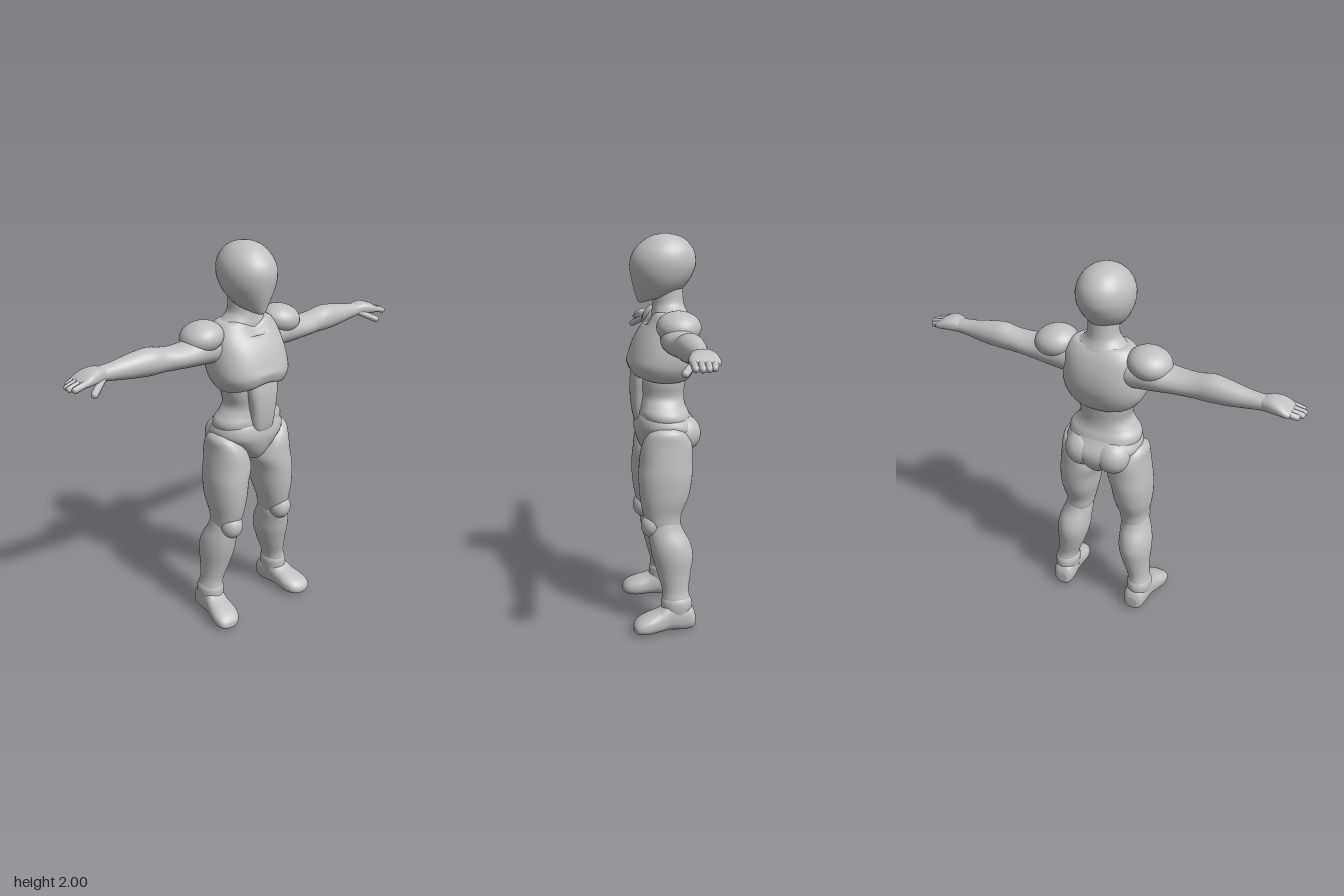
import * as THREE from 'three';

const grey = new THREE.MeshStandardMaterial({ color: 0xc0c0c0 });
grey.name = 'plainGrey';

// Outline of a cross-section: superellipse of power n
const power = (c, n) => Math.sign(c) * Math.abs(c) ** (2 / n);

// Smooth curve through the stations, one value per column
function blend(rows, i, f) {
  const row = (k) => rows[Math.max(0, Math.min(rows.length - 1, k))];
  const [a, b, c, d] = [row(i - 1), row(i), row(i + 1), row(i + 2)];
  return b.map((p, k) => p + 0.5 * f * (c[k] - a[k] + f * (2 * a[k] - 5 * p + 4 * c[k] - d[k]
    + f * (3 * (p - c[k]) + d[k] - a[k]))));
}

// Closed skin over stations [t, centreU, radiusU, maxV, minV, tilt] along an axis
function loft(axis, stations, { n = 2, sides = 36, steps = 5, warp } = {}) {
  const full = stations.map((s) => [...s, 0].slice(0, 6));
  const rings = [];
  for (let i = 0; i < full.length - 1; i++)
    for (let k = 0; k < steps; k++) rings.push(blend(full, i, k / steps));
  rings.push(full[full.length - 1]);
  const pos = [], index = [];
  const put = (t, u, v) => {
    const p = new THREE.Vector3(...{ x: [t, u, v], y: [u, t, v], z: [u, v, t] }[axis]);
    if (warp) warp(p);
    pos.push(p.x, p.y, p.z);
  };
  for (const [t, cu, ru, hi, lo, tilt] of rings)
    for (let j = 0; j < sides; j++) {
      const a = (j / sides) * Math.PI * 2;
      const v = (hi + lo) / 2 + ((hi - lo) / 2) * power(Math.sin(a), n);
      put(t - tilt * v, cu + ru * power(Math.cos(a), n), v);
    }
  const last = rings.length - 1;
  for (const e of [0, last]) {
    const [t, cu, , hi, lo, tilt] = rings[e];
    put(t - tilt * (hi + lo) / 2, cu, (hi + lo) / 2);
  }
  const pole = rings.length * sides;
  for (let j = 0; j < sides; j++) {
    const k = (j + 1) % sides;
    for (let i = 0; i < last; i++) {
      const a = i * sides + j, b = i * sides + k;
      index.push(a, a + sides, b, b, a + sides, b + sides);
    }
    index.push(pole, j, k, pole + 1, last * sides + k, last * sides + j);
  }
  const g = new THREE.BufferGeometry();
  g.setAttribute('position', new THREE.Float32BufferAttribute(pos, 3));
  g.setIndex(index);
  return faceOutward(g);
}

// Turns the faces outward by the sign of the enclosed volume
function faceOutward(g) {
  const p = g.attributes.position, ix = g.index.array;
  const at = (k) => new THREE.Vector3().fromBufferAttribute(p, ix[k]);
  let volume = 0;
  for (let i = 0; i < ix.length; i += 3) volume += at(i).dot(at(i + 1).cross(at(i + 2)));
  if (volume < 0) for (let i = 0; i < ix.length; i += 3) [ix[i], ix[i + 1]] = [ix[i + 1], ix[i]];
  g.computeVertexNormals();
  return g;
}

function ellipsoid(center, radii, turn = 0) {
  return new THREE.SphereGeometry(1, 32, 20).scale(...radii).rotateZ(turn).translate(...center);
}

// Round-ended finger between two points
function finger(from, to, r) {
  const a = new THREE.Vector3(...from), b = new THREE.Vector3(...to), d = b.clone().sub(a);
  const q = new THREE.Quaternion().setFromUnitVectors(new THREE.Vector3(0, 1, 0), d.clone().normalize());
  const c = a.add(b).multiplyScalar(0.5);
  return new THREE.CapsuleGeometry(r, d.length(), 6, 12).applyQuaternion(q).translate(c.x, c.y, c.z);
}

export function createModel() {
  const model = new THREE.Group();
  model.name = 'figure';
  const add = (name, geometry) => {
    const mesh = new THREE.Mesh(geometry, grey);
    mesh.name = name;
    model.add(mesh);
  };
  const addPair = (name, geometry) => {
    add('left' + name, geometry);
    add('right' + name, faceOutward(geometry.clone().scale(-1, 1, 1)));
  };

  // Head: egg with a low, narrow chin
  add('head', loft('y', [
    [1.695, 0, 0.03, 0.08, -0.05, 0.3], [1.7, 0, 0.065, 0.118, -0.1, 0.3],
    [1.735, 0, 0.1, 0.135, -0.128, 0.22], [1.785, 0, 0.126, 0.152, -0.15, 0.1],
    [1.85, 0, 0.138, 0.163, -0.168], [1.91, 0, 0.128, 0.145, -0.162],
    [1.96, 0, 0.096, 0.1, -0.128], [1.988, 0, 0.056, 0.05, -0.08], [2, 0, 0.006, -0.008, -0.02],
  ], { warp: (p) => { // wedge the jaw toward the chin
    if (p.y < 1.8 && p.z > 0) p.x *= 1 - 2.2 * p.z * Math.min(1, (1.8 - p.y) / 0.12);
  } }));

  add('neck', loft('y', [
    [1.54, 0, 0.17, 0.06, -0.15], [1.6, 0, 0.145, 0.055, -0.135], [1.635, 0, 0.1, 0.05, -0.118],
    [1.67, 0, 0.078, 0.048, -0.108], [1.75, 0, 0.076, 0.05, -0.1],
  ]));

  // Chest shell: notched collar, lower lip arched at the front
  add('chest', loft('y', [
    [1.295, 0, 0.1, 0.1, -0.08], [1.278, 0, 0.15, 0.148, -0.115], [1.295, 0, 0.175, 0.172, -0.138],
    [1.35, 0, 0.205, 0.182, -0.165], [1.42, 0, 0.21, 0.168, -0.182], [1.5, 0, 0.2, 0.135, -0.178],
    [1.57, 0, 0.185, 0.086, -0.155], [1.615, 0, 0.15, 0.06, -0.125], [1.622, 0, 0.1, 0.045, -0.11],
  ], { n: 2.35, sides: 48, warp: (p) => {
    const front = THREE.MathUtils.smoothstep(p.z, 0, 0.15);
    const low = 1 - THREE.MathUtils.smoothstep(p.y, 1.3, 1.42);
    p.y += low * front * (0.015 + 0.035 * Math.exp(-((p.x / 0.1) ** 2)));
    if (p.y > 1.56 && p.z > 0) p.y -= 0.03 * Math.max(0, 1 - Math.abs(p.x) / 0.08);
  } }));

  // Waist flaring into the hip ridge
  add('waist', loft('y', [
    [1.36, 0, 0.15, 0.13, -0.12], [1.27, 0, 0.146, 0.132, -0.115], [1.2, 0, 0.133, 0.128, -0.11],
    [1.155, 0, 0.158, 0.128, -0.115], [1.12, 0, 0.187, 0.132, -0.13], [1.085, 0, 0.19, 0.128, -0.14],
    [1.05, 0, 0.16, 0.11, -0.13],
  ], { n: 2.2 }));
  add('abdomenPlate', loft('y', [
    [1.36, 0, 0.09, 0.15, 0.05], [1.28, 0, 0.088, 0.163, 0.05], [1.19, 0, 0.075, 0.164, 0.05],
    [1.1, 0, 0.066, 0.153, 0.05], [1.05, 0, 0.05, 0.135, 0.05],
  ], { n: 3 }));

  // Pelvis tapering to the crotch
  add('pelvis', loft('y', [
    [1.13, 0, 0.15, 0.12, -0.12], [1.09, 0, 0.188, 0.14, -0.145], [1.04, 0, 0.198, 0.147, -0.178],
    [0.995, 0, 0.155, 0.14, -0.183], [0.945, 0, 0.098, 0.122, -0.165], [0.905, 0, 0.052, 0.095, -0.125],
    [0.885, 0, 0.028, 0.055, -0.075],
  ], { n: 2.2 }));
  addPair('Buttock', ellipsoid([0.085, 1.01, -0.09], [0.095, 0.095, 0.095]));

  // Legs
  addPair('Thigh', loft('y', [
    [1.055, 0.185, 0.025, 0.04, -0.04], [1.03, 0.17, 0.06, 0.09, -0.09], [0.97, 0.146, 0.09, 0.124, -0.128],
    [0.88, 0.136, 0.112, 0.137, -0.133], [0.8, 0.15, 0.105, 0.143, -0.13], [0.7, 0.156, 0.096, 0.138, -0.112],
    [0.61, 0.16, 0.078, 0.122, -0.076], [0.55, 0.165, 0.07, 0.1, -0.068], [0.5, 0.17, 0.055, 0.07, -0.05],
  ], { n: 2.15 }));
  addPair('Shin', loft('y', [
    [0.6, 0.168, 0.06, 0.085, -0.06], [0.53, 0.172, 0.075, 0.1, -0.078], [0.46, 0.184, 0.086, 0.093, -0.115],
    [0.39, 0.19, 0.088, 0.08, -0.13], [0.3, 0.2, 0.074, 0.055, -0.117], [0.22, 0.216, 0.06, 0.034, -0.104],
    [0.165, 0.226, 0.06, 0.034, -0.11], [0.08, 0.228, 0.06, 0.03, -0.11],
  ]));
  addPair('Knee', ellipsoid([0.168, 0.555, 0.075], [0.06, 0.068, 0.06]));
  addPair('AnkleCuff', loft('y', [
    [0.19, 0.223, 0.054, 0.025, -0.1], [0.165, 0.225, 0.066, 0.038, -0.116],
    [0.13, 0.227, 0.066, 0.04, -0.12], [0.09, 0.227, 0.06, 0.04, -0.11],
  ]));
  addPair('Foot', loft('z', [
    [-0.136, 0.222, 0.03, 0.09, 0.02], [-0.115, 0.223, 0.055, 0.13, 0.003], [-0.06, 0.226, 0.062, 0.155, 0],
    [0, 0.232, 0.062, 0.155, 0.006], [0.05, 0.24, 0.067, 0.122, 0.004], [0.11, 0.248, 0.074, 0.1, 0],
    [0.155, 0.254, 0.065, 0.08, 0.004], [0.178, 0.257, 0.045, 0.06, 0.012], [0.187, 0.258, 0.015, 0.045, 0.022],
  ], { n: 2.4 }));

  // Arms held out to the sides
  addPair('ShoulderPad', ellipsoid([0.248, 1.566, -0.042], [0.11, 0.077, 0.108], -0.15));
  addPair('Arm', loft('x', [
    [0.13, 1.5, 0.08, 0.03, -0.13], [0.27, 1.507, 0.074, 0.05, -0.13], [0.36, 1.502, 0.061, 0.05, -0.118],
    [0.43, 1.502, 0.057, 0.042, -0.11], [0.49, 1.506, 0.06, 0.03, -0.105], [0.56, 1.512, 0.067, 0.03, -0.105],
    [0.65, 1.51, 0.058, 0.018, -0.1], [0.74, 1.508, 0.044, 0.003, -0.088], [0.82, 1.51, 0.034, 0, -0.085],
  ]));
  addPair('Palm', loft('x', [
    [0.79, 1.508, 0.03, -0.005, -0.08], [0.84, 1.514, 0.036, 0.016, -0.093], [0.885, 1.511, 0.032, 0.03, -0.1],
    [0.92, 1.502, 0.023, 0.03, -0.1], [0.94, 1.497, 0.014, 0.024, -0.092],
  ], { n: 2.5 }));
  const tips = [0.965, 0.982, 0.985, 0.972];
  tips.forEach((x, i) => {
    const z = -0.08 + i * 0.031;
    addPair('Finger' + (i + 1), finger([0.9, 1.508, z], [x, 1.489, z * 0.85 + 0.005], 0.0155));
  });
  addPair('Thumb', finger([0.82, 1.495, -0.01], [0.895, 1.457, 0.043], 0.017));

  return model;
}
